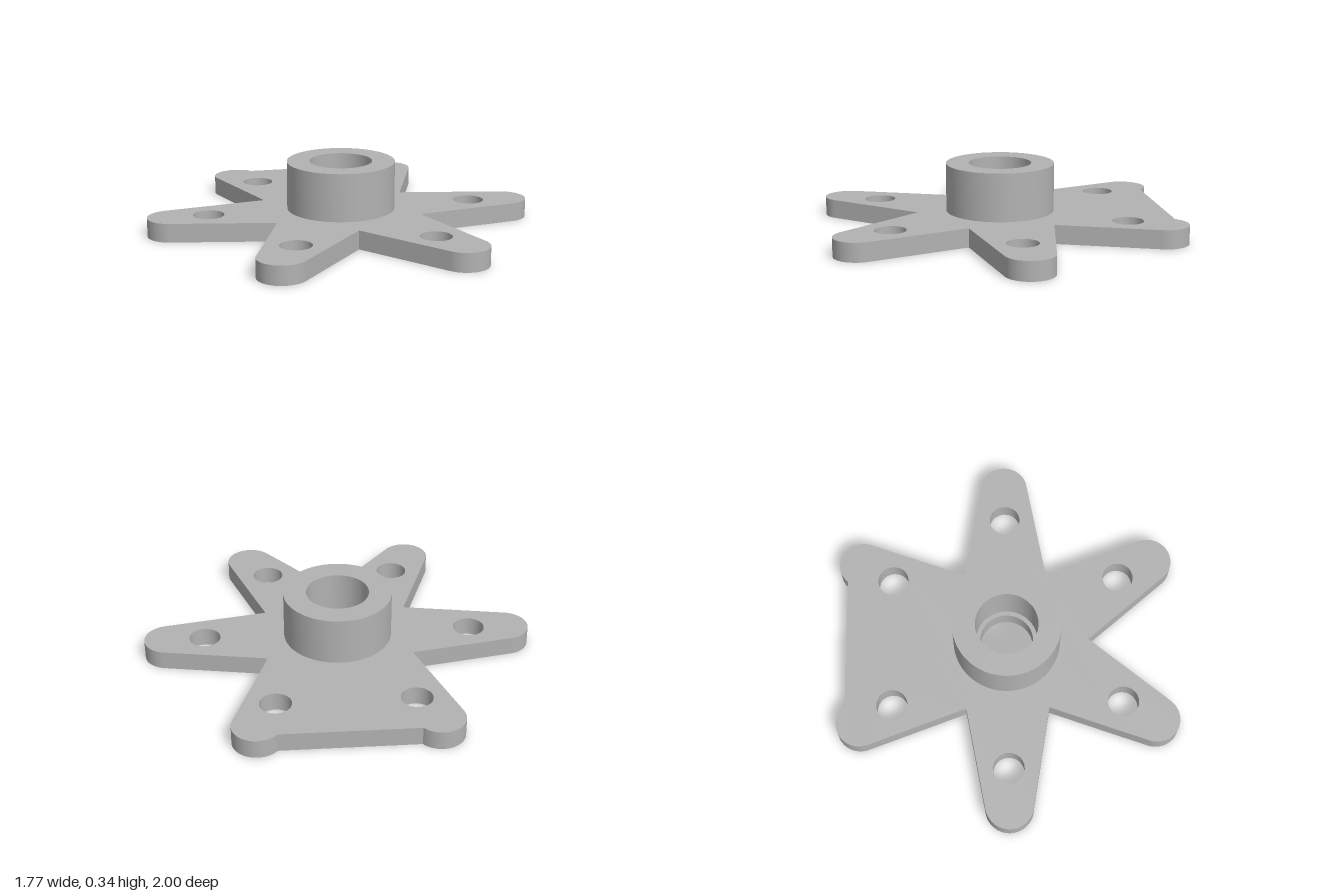
import * as THREE from 'three';
import { toCreasedNormals } from 'three/addons/utils/BufferGeometryUtils.js';

const ARMS = 6;
const PLATE_HEIGHT = 0.097, TOP = 0.345;
const VALLEY_RADIUS = 0.427;               // inner corners between arms
const TIP_CENTRE = 0.877, TIP_RADIUS = 0.123;
const HOLE_CENTRE = 0.688, HOLE_RADIUS = 0.08;

const circle = (x, y, r) => new THREE.Path().absarc(x, y, r, 0, Math.PI * 2, true);

// Extrude a flat outline upwards from y = base, with smooth curved walls
function slab(shape, base, height) {
  const geometry = new THREE.ExtrudeGeometry(shape, { depth: height, bevelEnabled: false, curveSegments: 48 });
  geometry.rotateX(-Math.PI / 2).translate(0, base, 0);
  return toCreasedNormals(geometry, Math.PI / 20);
}

// Tapered arms with round tips, the straight sides tangent to the tips
function starShape() {
  const shape = new THREE.Shape();
  const step = (Math.PI * 2) / ARMS;
  const vx = VALLEY_RADIUS * Math.cos(step / 2) - TIP_CENTRE;
  const vy = VALLEY_RADIUS * Math.sin(step / 2);
  const sweep = Math.atan2(vy, vx) - Math.acos(TIP_RADIUS / Math.hypot(vx, vy));
  for (let i = 0; i < ARMS; i++) {
    const a = Math.PI / 2 + i * step;
    const c = Math.cos(a), s = Math.sin(a);
    const x = VALLEY_RADIUS * Math.cos(a - step / 2), y = VALLEY_RADIUS * Math.sin(a - step / 2);
    if (i === 0) shape.moveTo(x, y);
    else shape.lineTo(x, y);
    shape.absarc(TIP_CENTRE * c, TIP_CENTRE * s, TIP_RADIUS, a - sweep, a + sweep, false);
    shape.holes.push(circle(HOLE_CENTRE * c, HOLE_CENTRE * s, HOLE_RADIUS));
  }
  shape.closePath();
  shape.holes.push(circle(0, 0, 0.138));   // shaft bore
  return shape;
}

export function createModel() {
  const group = new THREE.Group();
  group.name = 'servoHorn';
  const grey = new THREE.MeshStandardMaterial({ color: 0xb2b2b2 });
  grey.name = 'grey';

  const plate = new THREE.Mesh(slab(starShape(), 0, PLATE_HEIGHT), grey);
  plate.name = 'starPlate';

  // Hub collar, its socket slightly wider than the bore below
  const ring = new THREE.Shape().absarc(0, 0, 0.278, 0, Math.PI * 2, false);
  ring.holes.push(circle(0, 0, 0.161));
  const hub = new THREE.Mesh(slab(ring, PLATE_HEIGHT, TOP - PLATE_HEIGHT), grey);
  hub.name = 'hub';

  group.add(plate, hub);
  return group;
}
